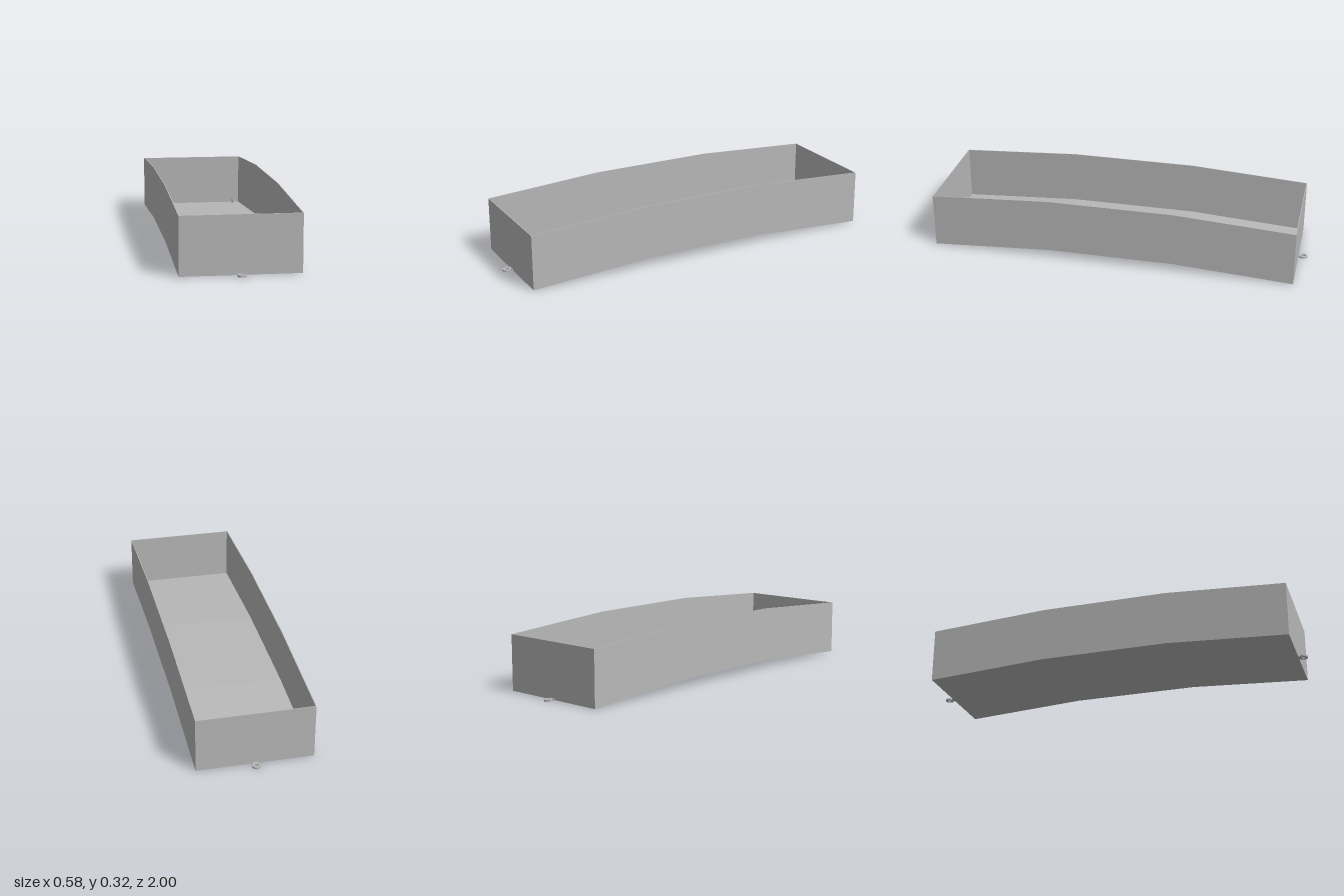
import * as THREE from 'three';

const HALF_W = 0.291, HALF_L = 0.953, FLAT = 0.33;
const WALL = 0.004, END_Y = 0.002, MID_Y = 0.04, HEIGHT = 0.285;

// Cambered band in the length/height plane, extruded across the width
function camberedBand(height, width) {
  const line = [[-HALF_L, END_Y], [-FLAT, MID_Y], [FLAT, MID_Y], [HALF_L, END_Y]];
  const upper = line.map(([z, y]) => [z, y + height]).reverse();
  const shape = new THREE.Shape([...line, ...upper].map(([z, y]) => new THREE.Vector2(z, y)));
  return new THREE.ExtrudeGeometry(shape, { depth: width, bevelEnabled: false })
    .translate(0, 0, -width / 2)
    .rotateY(-Math.PI / 2);
}

// Flat ring lying on the ground plane
function ring(outer, inner, height) {
  const shape = new THREE.Shape().absarc(0, 0, outer, 0, Math.PI * 2);
  shape.holes.push(new THREE.Path().absarc(0, 0, inner, 0, Math.PI * 2, true));
  return new THREE.ExtrudeGeometry(shape, { depth: height, bevelEnabled: false, curveSegments: 12 })
    .rotateX(-Math.PI / 2);
}

export function createModel() {
  const model = new THREE.Group();
  const grey = new THREE.MeshStandardMaterial({ color: 0xb8b8b8 });
  grey.name = 'plain grey';

  function add(name, geometry, x = 0, y = 0, z = 0) {
    const mesh = new THREE.Mesh(geometry, grey);
    mesh.name = name;
    mesh.position.set(x, y, z);
    model.add(mesh);
  }

  // Floor and long side walls share the cambered profile
  add('floor', camberedBand(WALL, 2 * (HALF_W - WALL)));
  for (const s of [-1, 1]) {
    add(s > 0 ? 'leftWall' : 'rightWall', camberedBand(HEIGHT, WALL), s * (HALF_W - WALL / 2));
  }

  // End walls, each with a coupling eye outside and a peg inside
  for (const s of [-1, 1]) {
    const end = s > 0 ? 'front' : 'back';
    add(end + 'Wall', new THREE.BoxGeometry(2 * (HALF_W - WALL), HEIGHT, WALL),
      0, END_Y + HEIGHT / 2, s * (HALF_L - WALL / 2));
    add(end + 'CouplingPlate', new THREE.BoxGeometry(0.036, 0.007, 0.006), 0, 0.0055, s * (HALF_L + 0.002));
    add(end + 'CouplingNeck', new THREE.BoxGeometry(0.014, 0.007, 0.012), 0, 0.0055, s * (HALF_L + 0.007));
    add(end + 'CouplingEye', ring(0.021, 0.01, 0.009), 0, 0, s * 0.979);
    add(end + 'Peg', new THREE.CylinderGeometry(0.01, 0.01, 0.027, 16), 0.25, 0.0185, s * 0.915);
  }
  return model;
}
